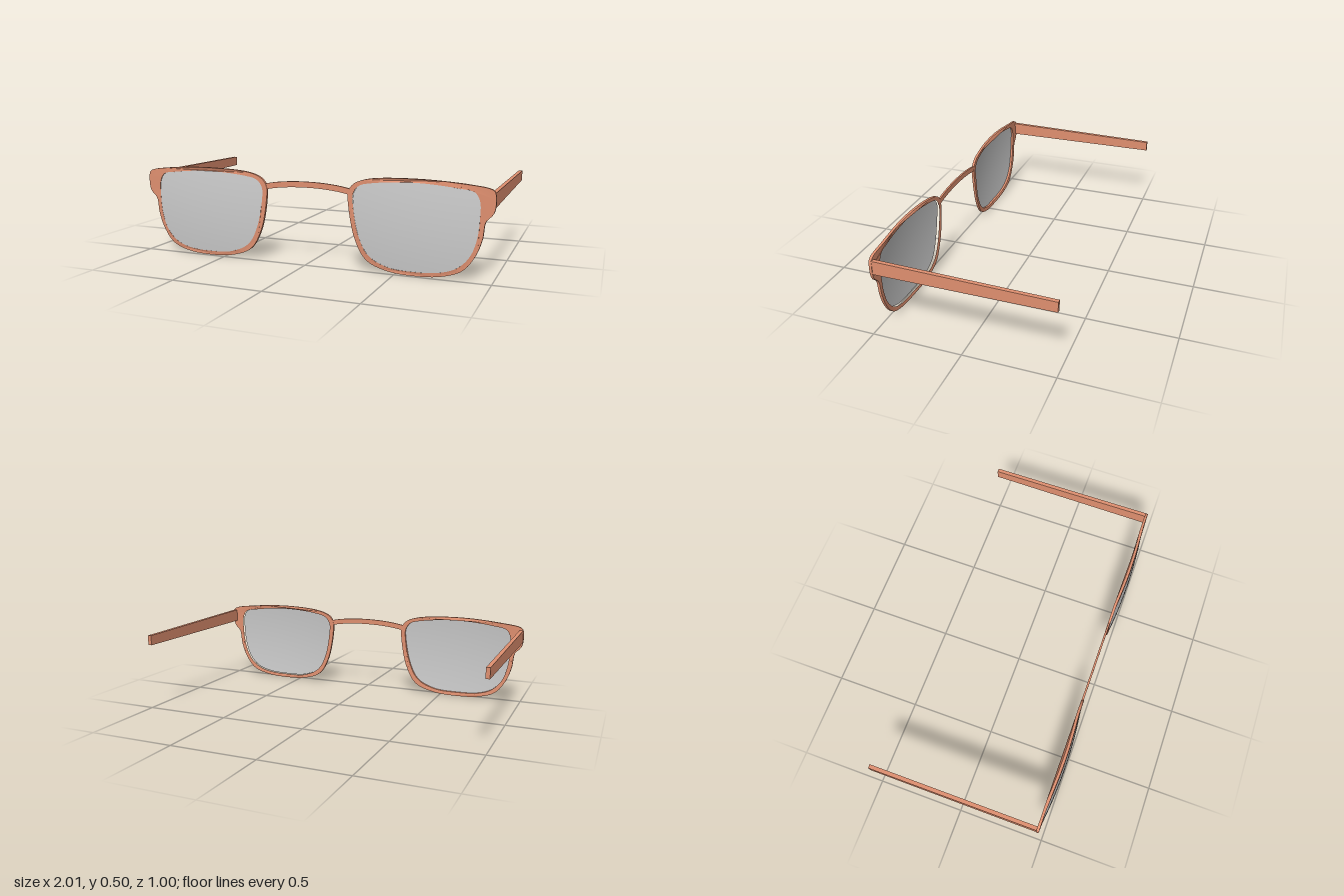
import * as THREE from 'three';
import { toCreasedNormals } from 'three/addons/utils/BufferGeometryUtils.js';

const frameMaterial = new THREE.MeshStandardMaterial({ color: 0xe09070 });
const lensMaterial = new THREE.MeshStandardMaterial({ color: 0xcccccc, side: THREE.DoubleSide });

// Outline of one rim and of its opening, on the +x side
const rimOutline = [
  [1.0, 0.37], [0.987, 0.342], [0.957, 0.31], [0.943, 0.22], [0.91, 0.13], [0.85, 0.053], [0.75, 0.015],
  [0.6, 0.003], [0.45, 0.015], [0.34, 0.06], [0.275, 0.17], [0.238, 0.355], [0.238, 0.415],
  [0.265, 0.457], [0.34, 0.487], [0.6, 0.504], [0.88, 0.488], [0.985, 0.47], [0.999, 0.455],
];
const openingOutline = [
  [0.928, 0.33], [0.917, 0.22], [0.885, 0.13], [0.826, 0.067], [0.74, 0.035], [0.6, 0.025],
  [0.46, 0.035], [0.355, 0.085], [0.3, 0.18], [0.265, 0.355], [0.267, 0.41], [0.297, 0.45],
  [0.365, 0.468], [0.6, 0.485], [0.82, 0.468], [0.9, 0.452], [0.925, 0.41],
];

// Smooth closed loop through the points, mirrored when s is -1
function smoothLoop(points, s) {
  const curve = new THREE.CatmullRomCurve3(
    points.map(([x, y]) => new THREE.Vector3(x * s, y, 0)), true, 'centripetal');
  return curve.getSpacedPoints(120).slice(0, -1).map((p) => new THREE.Vector2(p.x, p.y));
}

// Shallow spherical bulge shared by rim and lens
function bulge(x, y) {
  const dx = Math.abs(x) - 0.6, dy = y - 0.25;
  return 0.498 - (dx * dx + dy * dy) / 4.8;
}

function makeRim(s) {
  const shape = new THREE.Shape(smoothLoop(rimOutline, s));
  shape.holes.push(new THREE.Path(smoothLoop(openingOutline, s)));
  const geo = new THREE.ExtrudeGeometry(shape, { depth: 0.015, bevelEnabled: false });
  const p = geo.attributes.position;
  for (let i = 0; i < p.count; i++) {
    const front = Math.max(bulge(p.getX(i), p.getY(i)), 0.4735);
    p.setZ(i, front - 0.015 + p.getZ(i));
  }
  return new THREE.Mesh(toCreasedNormals(geo, 0.6), frameMaterial);
}

// Domed lens: rings from the centre out to the opening
function makeLens(s) {
  const loop = smoothLoop(openingOutline, s);
  const n = loop.length, rings = 10, position = [], index = [];
  for (let r = 0; r <= rings; r++) {
    for (const q of loop) {
      const t = r / rings;
      const x = s * 0.6 + (q.x - s * 0.6) * t, y = 0.25 + (q.y - 0.25) * t;
      position.push(x, y, bulge(x, y) - 0.001);
    }
  }
  for (let r = 0; r < rings; r++) {
    for (let i = 0; i < n; i++) {
      const a = r * n + i, b = r * n + (i + 1) % n, c = a + n, d = b + n;
      // The outline runs clockwise on +x and anticlockwise on -x
      const tris = s > 0 ? [a, d, c, a, b, d] : [a, c, d, a, d, b];
      index.push(...(r === 0 ? (s > 0 ? [a, d, c] : [a, c, d]) : tris));
    }
  }
  const geo = new THREE.BufferGeometry();
  geo.setAttribute('position', new THREE.Float32BufferAttribute(position, 3));
  geo.setIndex(index);
  geo.computeVertexNormals();
  // Every centre vertex faces straight forward
  for (let i = 0; i < n; i++) geo.attributes.normal.setXYZ(i, 0, 0, 1);
  return new THREE.Mesh(geo, lensMaterial);
}

// Tapered straight arm, drawn in side profile and extruded across x
function makeTemple(s) {
  const shape = new THREE.Shape([
    new THREE.Vector2(-0.462, 0.379), new THREE.Vector2(0.498, 0.385),
    new THREE.Vector2(0.498, 0.442), new THREE.Vector2(-0.462, 0.455),
  ]);
  const geo = new THREE.ExtrudeGeometry(shape, { depth: 0.022, bevelEnabled: false });
  geo.rotateY(Math.PI / 2);
  geo.translate(s > 0 ? 0.978 : -1, 0, 0);
  return new THREE.Mesh(geo, frameMaterial);
}

// Gently arched bar joining the rims
function makeBridge() {
  const shape = new THREE.Shape();
  shape.moveTo(-0.25, 0.398);
  shape.bezierCurveTo(-0.12, 0.431, 0.12, 0.431, 0.25, 0.398);
  shape.lineTo(0.25, 0.43);
  shape.bezierCurveTo(0.12, 0.462, -0.12, 0.462, -0.25, 0.43);
  shape.closePath();
  const geo = new THREE.ExtrudeGeometry(shape, { depth: 0.011, bevelEnabled: false, curveSegments: 24 });
  geo.translate(0, 0, 0.46);
  return new THREE.Mesh(toCreasedNormals(geo, 0.6), frameMaterial);
}

export function createModel() {
  const model = new THREE.Group();
  model.name = 'glasses';
  const add = (mesh, name) => { mesh.name = name; model.add(mesh); };
  for (const [s, side] of [[1, 'left'], [-1, 'right']]) {
    add(makeRim(s), side + 'Rim');
    add(makeLens(s), side + 'Lens');
    add(makeTemple(s), side + 'Temple');
  }
  add(makeBridge(), 'bridge');
  return model;
}
